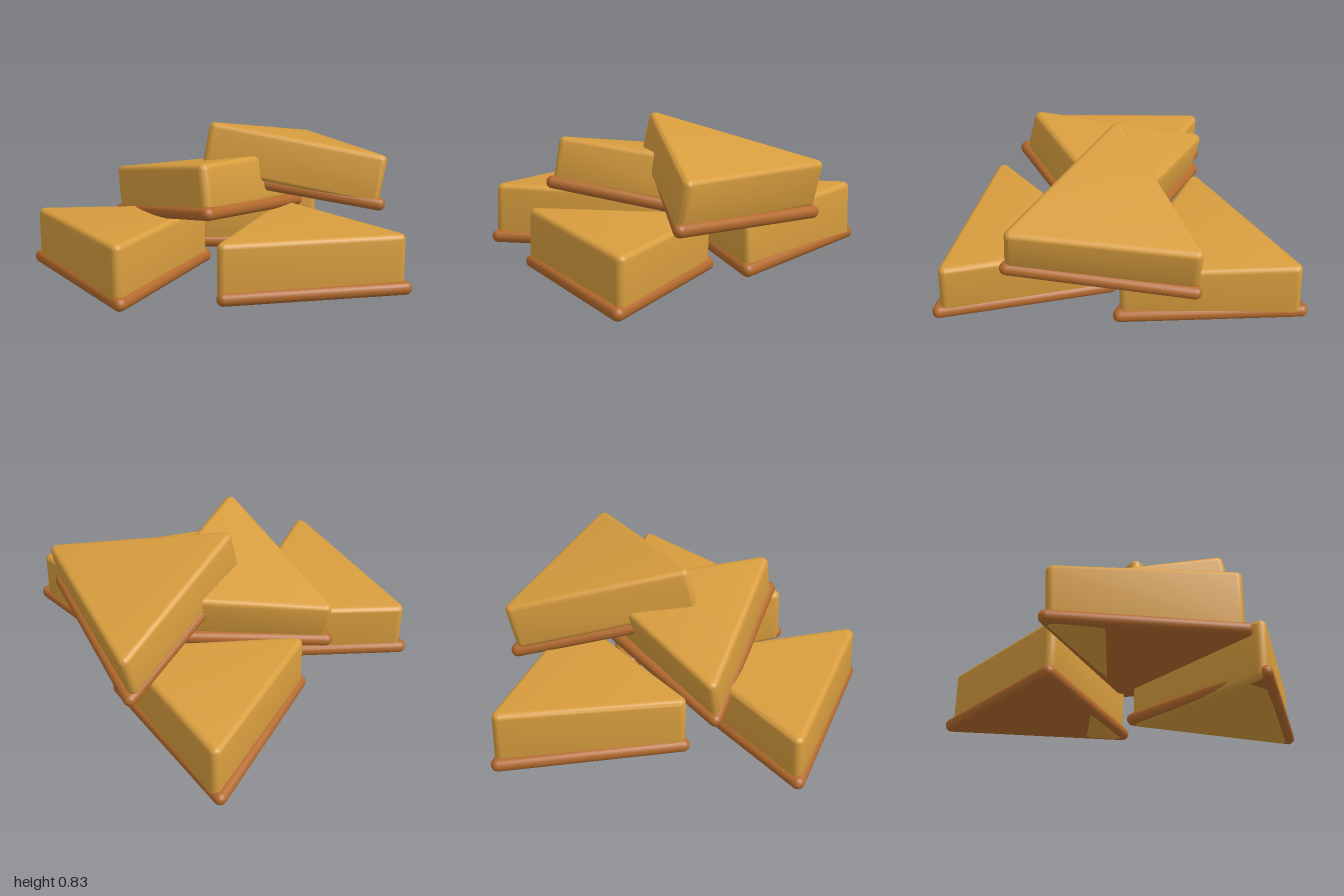
import * as THREE from 'three';
import { toCreasedNormals } from 'three/addons/utils/BufferGeometryUtils.js';

const crumb = new THREE.MeshStandardMaterial({ color: 0xd89d3e });
crumb.name = 'golden crumb';
const crust = new THREE.MeshStandardMaterial({ color: 0xb36a2d });
crust.name = 'brown crust';

// Soft-edged triangular slab hanging below the plane through three corner tips
function slab(name, tips, height, cornerRadius, bevel, material) {
  let p = tips.map((t) => new THREE.Vector3(...t));
  const normal = p[1].clone().sub(p[0]).cross(p[2].clone().sub(p[0])).normalize();
  if (normal.y < 0) {
    p.reverse();
    normal.negate();
  }
  const centre = p[0].clone().add(p[1]).add(p[2]).divideScalar(3);
  const xAxis = p[1].clone().sub(p[0]).normalize();
  const yAxis = normal.clone().cross(xAxis);

  // Centres of the rounded corners, in the plane of the slab
  const cores = p.map((v) => {
    const d = v.clone().sub(centre);
    const flat = new THREE.Vector2(d.dot(xAxis), d.dot(yAxis));
    return flat.setLength(flat.length() - cornerRadius);
  });
  const outward = (a, b) => Math.atan2(-(b.x - a.x), b.y - a.y);
  const shape = new THREE.Shape();
  cores.forEach((c, i) => {
    const before = cores[(i + 2) % 3], after = cores[(i + 1) % 3];
    shape.absarc(c.x, c.y, cornerRadius, outward(before, c), outward(c, after), false);
  });

  const geometry = new THREE.ExtrudeGeometry(shape, {
    depth: height - 2 * bevel,
    bevelEnabled: true,
    bevelThickness: bevel,
    bevelSize: bevel,
    bevelOffset: -bevel,
    bevelSegments: 5,
    curveSegments: 6,
  });
  geometry.translate(0, 0, bevel - height);
  geometry.applyMatrix4(new THREE.Matrix4().makeBasis(xAxis, yAxis, normal).setPosition(centre));
  const mesh = new THREE.Mesh(toCreasedNormals(geometry, 0.7), material);
  mesh.name = name;
  return mesh;
}

// Top corners of each filling and of the crust below it
const slices = [
  {
    name: 'backLeftSlice', height: 0.33,
    top: [[-0.955, 0.365, -0.06], [-0.61, 0.335, -0.965], [-0.02, 0.345, -0.255]],
    base: [[-0.98, 0.088, -0.02], [-0.62, 0.085, -1.0], [0.01, 0.085, -0.235]],
  },
  {
    name: 'backRightSlice', height: 0.33,
    top: [[-0.035, 0.35, -0.665], [0.955, 0.365, -0.81], [0.595, 0.34, 0.08]],
    base: [[-0.055, 0.085, -0.69], [0.975, 0.085, -0.86], [0.61, 0.088, 0.12]],
  },
  {
    name: 'frontSlice', height: 0.335,
    top: [[-0.575, 0.352, 0.305], [0.2, 0.343, 0.95], [0.36, 0.338, 0.03]],
    base: [[-0.6, 0.088, 0.32], [0.2, 0.085, 1.0], [0.38, 0.083, 0.0]],
  },
  {
    name: 'leaningSlice', height: 0.26,
    top: [[-0.475, 0.725, 0.12], [-0.17, 0.52, -0.765], [0.44, 0.615, 0.01]],
    base: [[-0.525, 0.515, 0.19], [-0.19, 0.3, -0.77], [0.485, 0.365, 0.06]],
  },
  {
    name: 'topSlice', height: 0.27,
    top: [[-0.04, 0.84, -0.18], [0.935, 0.62, -0.22], [0.45, 0.675, 0.665]],
    base: [[-0.05, 0.58, -0.21], [0.92, 0.36, -0.235], [0.41, 0.445, 0.685]],
  },
];

export function createModel() {
  const model = new THREE.Group();
  model.name = 'stackedSlices';
  for (const { name, height, top, base } of slices) {
    const slice = new THREE.Group();
    slice.name = name;
    slice.add(slab('filling', top, height, 0.036, 0.03, crumb));
    slice.add(slab('crust', base, 0.072, 0.036, 0.034, crust));
    model.add(slice);
  }
  return model;
}
